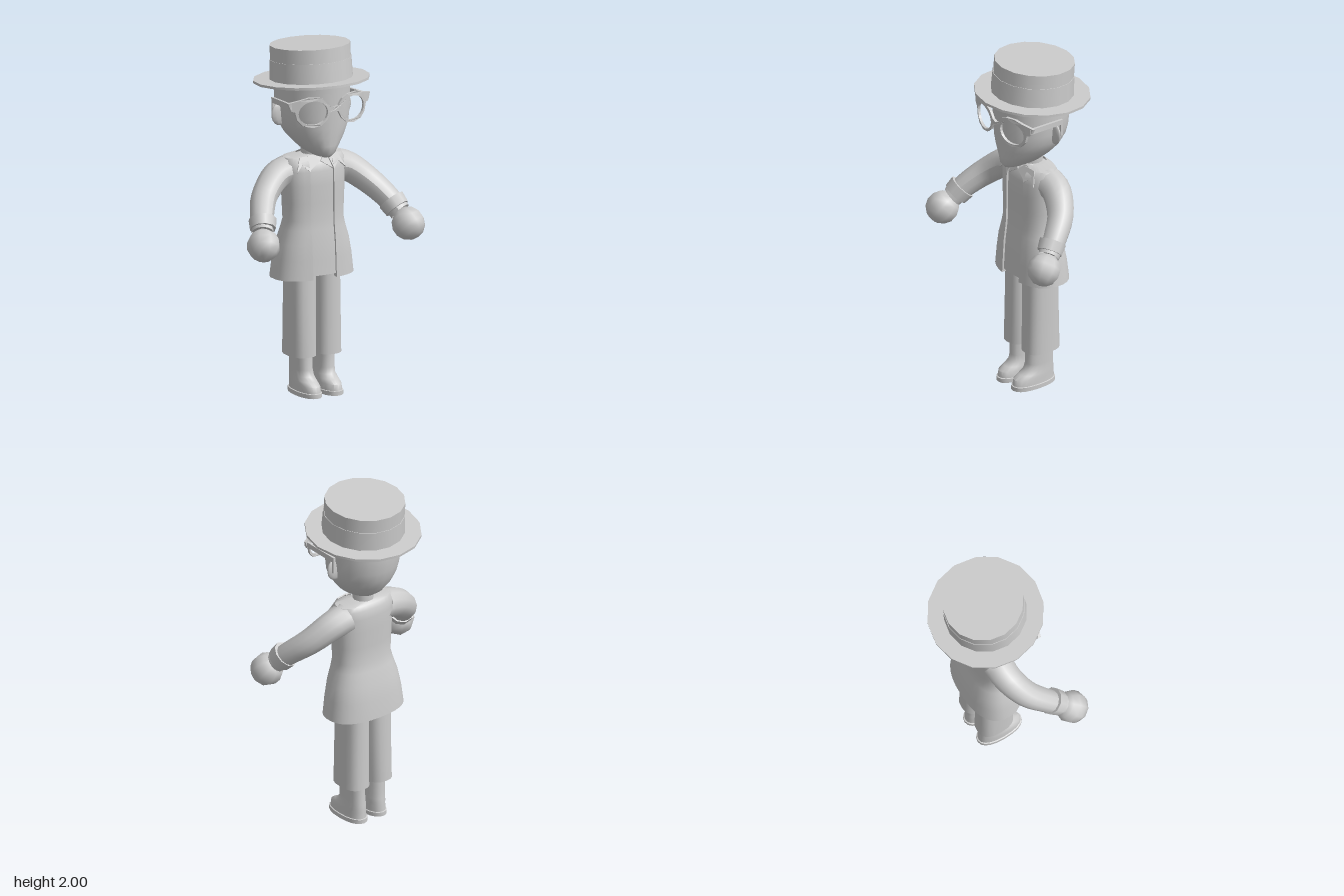
import * as THREE from 'three';
import { toCreasedNormals } from 'three/addons/utils/BufferGeometryUtils.js';

const mat = new THREE.MeshStandardMaterial({ color: 0xcccccc, side: THREE.DoubleSide });

function add(parent, name, geo) {
  const mesh = new THREE.Mesh(geo, mat);
  mesh.name = name;
  parent.add(mesh);
  return mesh;
}

// Skin through superellipse rings [y, centreX, halfWidth, zFront, zBack], listed upwards.
// A gap leaves the front open that far either side, with the edges turned inwards.
function loft(rings, { sides = 20, n = 2, gap = 0, crease = 0.7 } = {}) {
  const pos = [], idx = [];
  const row = gap ? sides + 3 : sides;
  for (const [y, cx, w, zf, zb] of rings) {
    const a0 = gap ? Math.asin(Math.pow(Math.min(gap / w, 0.6), n / 2)) : 0;
    const mid = (zf + zb) / 2, d = (zf - zb) / 2;
    for (let j = 0; j < row; j++) {
      const k = gap ? THREE.MathUtils.clamp(j - 1, 0, sides) : j;
      const a = a0 + (2 * Math.PI - 2 * a0) * k / sides;
      const s = Math.sin(a), c = Math.cos(a);
      const fold = gap && (j === 0 || j === row - 1) ? 0.025 : 0;
      pos.push(cx + w * Math.sign(s) * Math.abs(s) ** (2 / n), y,
        mid + d * Math.sign(c) * Math.abs(c) ** (2 / n) - fold);
    }
  }
  const spans = gap ? row - 1 : row;
  for (let i = 0; i < rings.length - 1; i++) {
    for (let j = 0; j < spans; j++) {
      const a = i * row + j, b = i * row + (j + 1) % row;
      idx.push(a, b, b + row, a, b + row, a + row);
    }
  }
  if (!gap) {
    // End caps
    for (const i of [0, rings.length - 1]) {
      const [y, cx, , zf, zb] = rings[i];
      const centre = pos.length / 3;
      pos.push(cx, y, (zf + zb) / 2);
      for (let j = 0; j < row; j++) {
        const a = i * row + j, b = i * row + (j + 1) % row;
        if (i === 0) idx.push(centre, b, a); else idx.push(centre, a, b);
      }
    }
  }
  const g = new THREE.BufferGeometry();
  g.setAttribute('position', new THREE.Float32BufferAttribute(pos, 3));
  g.setIndex(idx);
  return toCreasedNormals(g, crease);
}

function makeHat() {
  const hat = new THREE.Group();
  hat.name = 'hat';
  const disc = (name, r1, r2, y0, y1) =>
    add(hat, name, new THREE.CylinderGeometry(r1, r2, y1 - y0, 16).translate(0, (y0 + y1) / 2, 0));
  disc('hatBrim', 0.325, 0.325, -0.007, 0.007);
  disc('hatBand', 0.228, 0.232, 0, 0.118);
  disc('hatCrown', 0.225, 0.225, 0, 0.198);
  hat.position.set(0, 1.783, -0.02);
  hat.rotation.x = -0.084;
  return hat;
}

function makeGlasses() {
  const glasses = new THREE.Group();
  glasses.name = 'glasses';
  // Half outline of the frame, mirrored about the nose
  const half = [[0, 1.675], [0.025, 1.685], [0.05, 1.72], [0.085, 1.738], [0.15, 1.743], [0.2, 1.73],
    [0.262, 1.715], [0.245, 1.67], [0.226, 1.665], [0.215, 1.62], [0.185, 1.585], [0.13, 1.57],
    [0.08, 1.58], [0.045, 1.61], [0.025, 1.65], [0, 1.66]];
  const pts = [...half, ...half.slice(1, -1).reverse().map(([x, y]) => [-x, y])];
  const shape = new THREE.Shape(pts.map(([x, y]) => new THREE.Vector2(x, y)));
  for (const s of [1, -1]) {
    shape.holes.push(new THREE.Path().absellipse(s * 0.125, 1.654, 0.083, 0.068, 0, Math.PI * 2));
  }
  const frame = new THREE.ExtrudeGeometry(shape, { depth: 0.016, bevelEnabled: false, curveSegments: 12 });
  // Wrap the frame around the face
  const p = frame.attributes.position;
  for (let i = 0; i < p.count; i++) p.setZ(i, p.getZ(i) + 0.22 - 0.9 * p.getX(i) ** 2);
  frame.computeVertexNormals();
  add(glasses, 'glassesFrame', frame);
  for (const s of [1, -1]) {
    const temple = add(glasses, 'glassesTemple', new THREE.BoxGeometry(0.014, 0.03, 0.235));
    temple.position.set(s * 0.237, 1.69, 0.065);
    temple.rotation.set(-0.06, s * 0.06, 0);
    const hook = add(glasses, 'glassesHook', new THREE.BoxGeometry(0.014, 0.09, 0.014));
    hook.position.set(s * 0.229, 1.645, -0.046);
  }
  return glasses;
}

function makeArm() {
  const arm = new THREE.Group();
  arm.name = 'arm';
  const v = (x, y, z) => new THREE.Vector3(x, y, z);
  const path = new THREE.CatmullRomCurve3([v(0.13, 1.28, -0.025), v(0.22, 1.255, -0.02),
    v(0.33, 1.17, 0.035), v(0.4, 1.085, 0.125), v(0.44, 1.01, 0.2)]);
  // Sleeve tapering towards the wrist
  const sleeve = new THREE.TubeGeometry(path, 14, 1, 12);
  const p = sleeve.attributes.position, uv = sleeve.attributes.uv, q = v(0, 0, 0);
  for (let i = 0; i < p.count; i++) {
    const t = uv.getX(i), c = path.getPointAt(t);
    q.fromBufferAttribute(p, i).sub(c).multiplyScalar(0.088 - 0.028 * t).add(c);
    p.setXYZ(i, q.x, q.y, q.z);
  }
  sleeve.computeVertexNormals();
  add(arm, 'sleeve', sleeve);
  const along = v(0.04, -0.095, 0.08).normalize();
  const turn = new THREE.Quaternion().setFromUnitVectors(v(0, 1, 0), along);
  const cuff = add(arm, 'cuff', new THREE.CylinderGeometry(0.072, 0.078, 0.06, 10));
  cuff.position.set(0.42, 1.048, 0.168);
  cuff.quaternion.copy(turn);
  const hand = add(arm, 'hand', new THREE.SphereGeometry(0.094, 9, 7));
  hand.position.set(0.463, 0.952, 0.25);
  hand.quaternion.copy(turn);
  return arm;
}

function makeLeg() {
  const leg = new THREE.Group();
  leg.name = 'leg';
  add(leg, 'trouserLeg', loft([
    [0.26, 0.08, 0.06, 0.07, -0.105], [0.22, 0.08, 0.07, 0.082, -0.117], [0.22, 0.08, 0.079, 0.092, -0.125],
    [0.45, 0.079, 0.078, 0.087, -0.12], [0.74, 0.077, 0.077, 0.083, -0.118],
  ], { n: 2.6 }));
  add(leg, 'boot', loft([
    [0, 0.068, 0.066, 0.165, -0.115], [0.024, 0.068, 0.066, 0.165, -0.115], [0.026, 0.068, 0.06, 0.158, -0.108],
    [0.06, 0.068, 0.059, 0.152, -0.106], [0.082, 0.068, 0.057, 0.115, -0.105],
    [0.105, 0.068, 0.054, 0.082, -0.103], [0.14, 0.07, 0.052, 0.072, -0.1], [0.27, 0.072, 0.052, 0.072, -0.1],
  ], { n: 2.3, crease: 0.9 }));
  return leg;
}

export function createModel() {
  const model = new THREE.Group();
  model.name = 'figure';

  // Head and neck
  add(model, 'head', loft([
    [1.366, 0, 0.015, 0.14, 0.03], [1.376, 0, 0.045, 0.172, -0.03], [1.4, 0, 0.082, 0.19, -0.09],
    [1.44, 0, 0.12, 0.193, -0.145], [1.49, 0, 0.162, 0.196, -0.182], [1.545, 0, 0.192, 0.199, -0.207],
    [1.6, 0, 0.202, 0.201, -0.222], [1.68, 0, 0.207, 0.205, -0.232], [1.79, 0, 0.207, 0.209, -0.236],
  ], { sides: 24, crease: 1 }));
  add(model, 'neck', new THREE.CylinderGeometry(0.058, 0.06, 0.12, 12).translate(0, 1.38, -0.02));

  // Coat over a slightly smaller inner body that shows as the recessed front panel
  const body = [
    [0.67, 0, 0.245, 0.135, -0.175], [0.78, 0, 0.232, 0.13, -0.165], [0.87, 0, 0.214, 0.125, -0.15],
    [0.95, 0, 0.188, 0.115, -0.13], [1.0, 0, 0.176, 0.11, -0.118], [1.1, 0, 0.182, 0.108, -0.117],
    [1.2, 0, 0.186, 0.108, -0.12], [1.28, 0, 0.19, 0.104, -0.12], [1.33, 0, 0.19, 0.09, -0.115],
    [1.355, 0, 0.178, 0.066, -0.1], [1.366, 0, 0.09, 0.045, -0.085],
  ];
  const hem = [0.7, 0, 0.22, 0.11, -0.15];
  add(model, 'coat', loft([hem, ...body], { sides: 28, n: 2.4, gap: 0.075 }));
  add(model, 'innerBody', loft(
    body.map(([y, x, w, f, b], i) => [i ? y - 0.004 : 0.69, x, w - 0.013, f - 0.011, b + 0.013]),
    { sides: 28, n: 2.4 }));

  // Mirrored parts
  for (const s of [1, -1]) {
    const side = new THREE.Group();
    side.name = s > 0 ? 'leftSide' : 'rightSide';
    side.scale.x = s;
    side.add(makeArm(), makeLeg());

    // Ear: a thin oval facing forwards
    const ear = add(side, 'ear', new THREE.SphereGeometry(1, 12, 8).scale(0.055, 0.066, 0.016));
    ear.position.set(0.2, 1.605, -0.022);
    ear.rotation.z = -0.15;

    // Lapel and shirt collar flaps
    const flap = (name, pts, z) => {
      const shape = new THREE.Shape(pts.map(([x, y]) => new THREE.Vector2(x, y)));
      const mesh = add(side, name, new THREE.ExtrudeGeometry(shape, { depth: 0.008, bevelEnabled: false }));
      mesh.position.set(0, 1.365, z);
      mesh.rotation.set(-0.45, 0.12, 0);
    };
    flap('lapel', [[0.05, 0], [0.075, -0.09], [0.115, -0.045], [0.155, -0.085], [0.12, 0]], 0.064);
    flap('shirtCollar', [[0, -0.04], [0.07, -0.085], [0.065, 0], [0.04, 0.005]], 0.056);
    model.add(side);
  }

  model.add(makeHat(), makeGlasses());
  return model;
}
